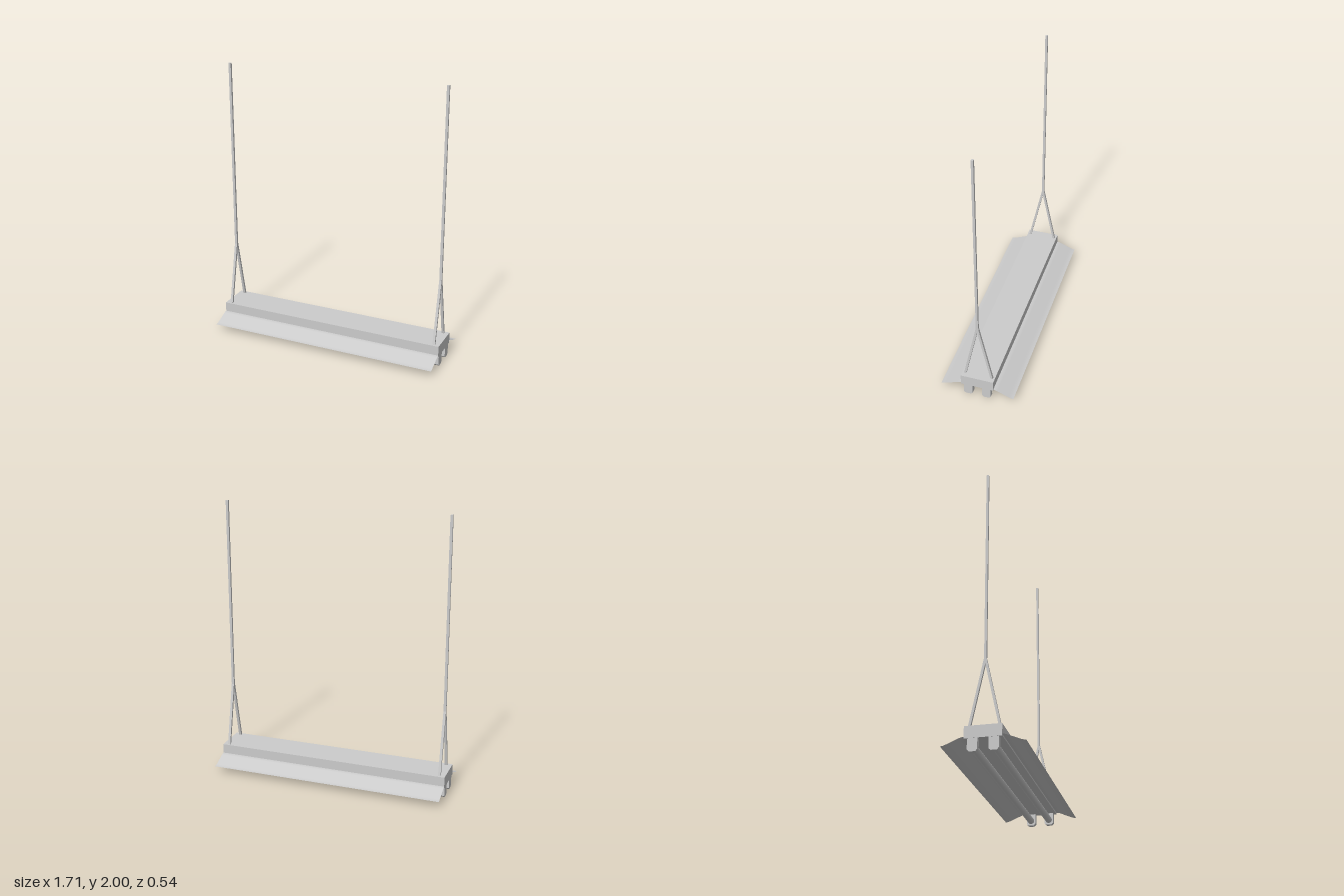
import * as THREE from 'three';

const HALF = 0.857; // half length of the fixture
const mat = new THREE.MeshStandardMaterial({ color: 0xcccccc });
const thinMat = new THREE.MeshStandardMaterial({ color: 0xcccccc, side: THREE.DoubleSide });

function add(parent, name, geometry, x = 0, y = 0, z = 0, material = mat) {
  const mesh = new THREE.Mesh(geometry, material);
  mesh.name = name;
  mesh.position.set(x, y, z);
  parent.add(mesh);
  return mesh;
}

// Square bar between two points in the y-z plane
function bar(parent, name, x, y0, z0, y1, z1) {
  const length = Math.hypot(y1 - y0, z1 - z0);
  const mesh = add(parent, name, new THREE.BoxGeometry(0.018, length, 0.016), x, (y0 + y1) / 2, (z0 + z1) / 2);
  mesh.rotation.x = Math.atan2(z1 - z0, y1 - y0);
}

// Thin reflector wing: a gentle S profile swept along x
function wingGeometry(side) {
  const profile = new THREE.SplineCurve([
    [0.12, 0.096], [0.14, 0.093], [0.165, 0.083], [0.225, 0.058], [0.25, 0.049], [0.268, 0.046],
  ].map(([z, y]) => new THREE.Vector2(z, y)));
  const steps = 16;
  const geometry = new THREE.PlaneGeometry(2 * HALF, 1, 1, steps);
  const pos = geometry.attributes.position;
  for (let i = 0; i < pos.count; i++) {
    const t = 0.5 - pos.getY(i);
    const p = profile.getPoint(side > 0 ? t : 1 - t);
    pos.setXYZ(i, pos.getX(i), p.y, side * p.x);
  }
  geometry.computeVertexNormals();
  return geometry;
}

// Lamp holder block with chamfered lower corners, extruded along x
function holderGeometry(depth) {
  const w = 0.0325, c = 0.013;
  const shape = new THREE.Shape([
    [-w, 0.09], [-w, c], [-w + c, 0], [w - c, 0], [w, c], [w, 0.09],
  ].map(([a, b]) => new THREE.Vector2(a, b)));
  return new THREE.ExtrudeGeometry(shape, { depth, bevelEnabled: false })
    .translate(0, 0, -depth / 2).rotateY(Math.PI / 2);
}

export function createModel() {
  const model = new THREE.Group();
  model.name = 'hangingStripLight';

  // Housing
  add(model, 'housing', new THREE.BoxGeometry(2 * HALF, 0.08, 0.24), 0, 0.125, 0);

  const tube = new THREE.CylinderGeometry(0.024, 0.024, 1.66, 24).rotateZ(Math.PI / 2);
  const holder = holderGeometry(0.036);
  for (const side of [1, -1]) {
    const label = side > 0 ? 'front' : 'back';
    add(model, label + 'Reflector', wingGeometry(side), 0, 0, 0, thinMat);

    // Lamp tube between its two holders
    const lamp = new THREE.Group();
    lamp.name = label + 'Lamp';
    lamp.position.z = side * 0.067;
    add(lamp, 'tube', tube, 0, 0.036, 0);
    for (const x of [-1, 1]) add(lamp, x > 0 ? 'leftHolder' : 'rightHolder', holder, x * 0.837, 0, 0);
    model.add(lamp);
  }

  // Hangers: vertical rod splitting into two legs
  for (const s of [1, -1]) {
    const hanger = new THREE.Group();
    hanger.name = s > 0 ? 'leftHanger' : 'rightHanger';
    const x = s * 0.815;
    bar(hanger, 'rod', x, 0.605, 0, 2, 0);
    bar(hanger, 'frontLeg', x, 0.155, 0.1, 0.615, 0.002);
    bar(hanger, 'backLeg', x, 0.155, -0.1, 0.615, -0.002);
    model.add(hanger);
  }
  return model;
}
